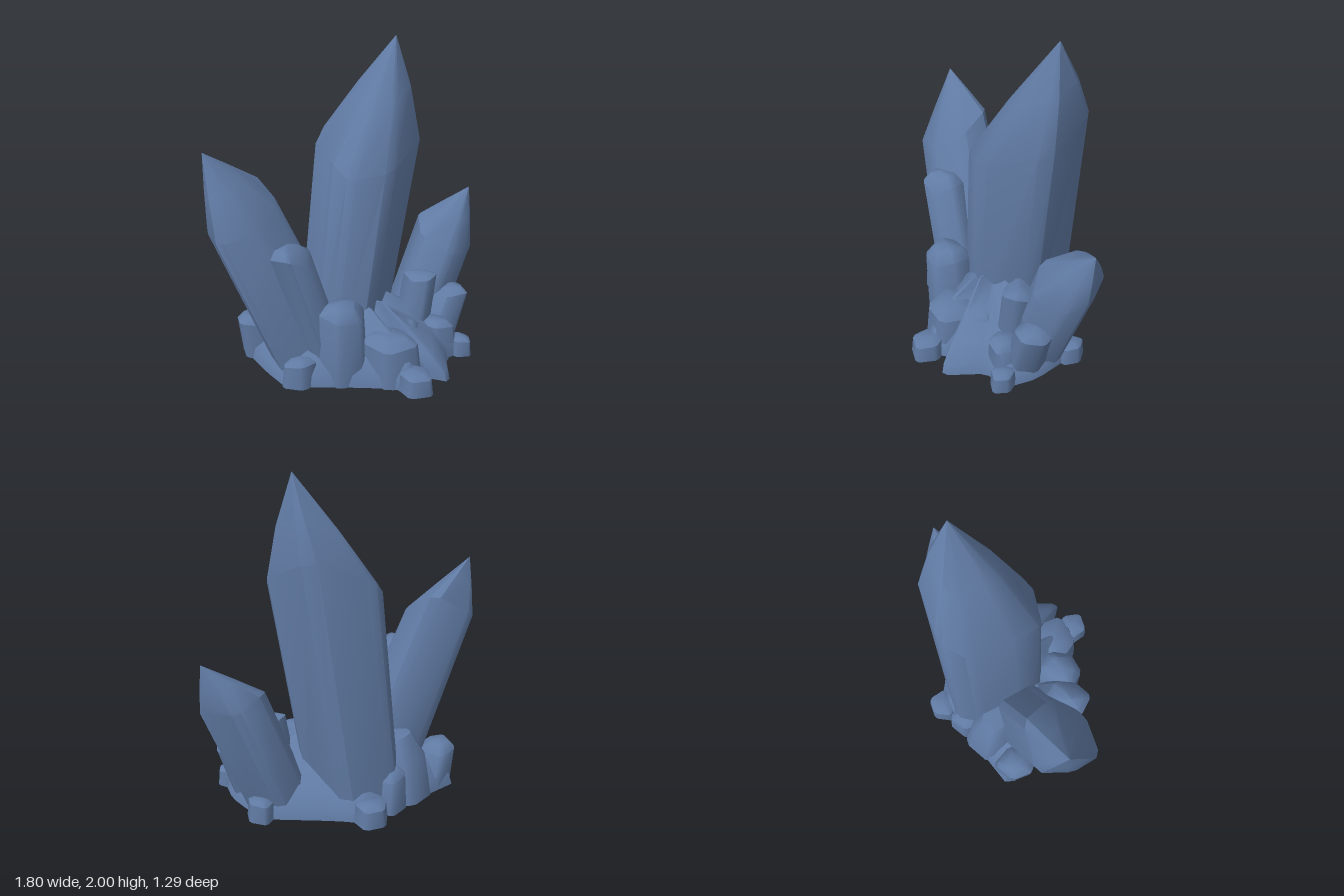
import * as THREE from 'three';
import { toCreasedNormals } from 'three/addons/utils/BufferGeometryUtils.js';

const crystalBlue = new THREE.MeshStandardMaterial({ color: 0x607aa3 });
crystalBlue.name = 'crystal blue';

// Cuts every corner of a ring in two, which softens the long edges
function cutCorners(ring, cut = 0.14) {
  const n = ring.length;
  const mix = (a, b) => a.map((v, k) => v + (b[k] - v) * cut);
  return ring.flatMap((p, i) => [mix(p, ring[(i + n - 1) % n]), mix(p, ring[(i + 1) % n])]);
}

const middleOf = ring => [0, 1, 2].map(k => ring.reduce((sum, p) => sum + p[k], 0) / ring.length);

// Skins rings (counter-clockwise from above) from the ground up to a tip
function skin(name, rings, tip, crease = 0.6) {
  const n = rings[0].length;
  const top = (rings.length - 1) * n;
  const tipId = rings.length * n;
  const positions = [...rings.flat(2), ...tip, ...middleOf(rings[0])];
  const index = [];
  for (let i = 0; i < n; i++) {
    const j = (i + 1) % n;
    for (let r = 0; r < top; r += n) {
      index.push(r + i, r + j, r + n + j, r + i, r + n + j, r + n + i);
    }
    index.push(top + i, top + j, tipId, j, i, tipId + 1);
  }
  const geometry = new THREE.BufferGeometry();
  geometry.setAttribute('position', new THREE.Float32BufferAttribute(positions, 3));
  geometry.setIndex(index);
  const mesh = new THREE.Mesh(toCreasedNormals(geometry, crease), crystalBlue);
  mesh.name = name;
  return mesh;
}

// Large crystal: the shoulder ring runs down along the lean to the ground and up through a crown to the tip
function crystal(name, shoulder, tip, [leanX, leanZ], [flareX, flareZ], bulge) {
  const resize = (ring, sx, sz) => {
    const [cx, , cz] = middleOf(ring);
    return ring.map(([x, y, z]) => [cx + (x - cx) * sx, y, cz + (z - cz) * sz]);
  };
  const foot = resize(shoulder.map(([x, y, z]) => [x - leanX * y, 0, z - leanZ * y]), flareX, flareZ);
  const crown = resize(shoulder.map(p => p.map((v, k) => (v + tip[k]) / 2)), bulge, bulge);
  return skin(name, [foot, shoulder, crown].map(ring => cutCorners(ring)), tip);
}

// Small blunt crystal standing at x, z; it leans and tapers upwards
function stub(name, x, z, height, radius, leanX = 0, leanZ = 0, shoulder = 0.82) {
  const sides = height > 0.3 ? 6 : 5;
  const ring = (t, scale, tilt) => cutCorners(Array.from({ length: sides }, (_, i) => {
    const angle = 0.4 + x * 3 - (i / sides) * Math.PI * 2;
    const r = radius * scale * (1 + 0.09 * Math.sin(i * 2.7 + x * 9));
    return [
      x + leanX * t + Math.cos(angle) * r,
      height * (t + tilt * Math.sin(i * 1.9 + z * 8)),
      z + leanZ * t + Math.sin(angle) * r,
    ];
  }));
  return skin(name, [ring(0, 1.12, 0), ring(shoulder, 1, 0.05), ring(0.97, 0.6, 0.02)],
    [x + leanX, height, z + leanZ], 0.75);
}

// Rough rock base with a flat underside
function rockBase() {
  const outline = [
    [-0.69, -0.34], [-0.6, 0.05], [-0.53, 0.26], [-0.2, 0.38], [0.02, 0.47], [0.2, 0.58], [0.3, 0.44], [0.43, 0.54],
    [0.53, 0.28], [0.68, 0.24], [0.69, 0.02], [0.6, -0.28], [0.2, -0.47], [0.02, -0.58], [-0.2, -0.5], [-0.45, -0.41],
  ];
  const levels = [[1, 0], [0.97, 0.07], [0.82, 0.17], [0.58, 0.27], [0.3, 0.37]];
  const rings = levels.map(([scale, y], r) => cutCorners(outline.map(([x, z], i) =>
    [x * scale, y * (1 + 0.15 * Math.sin(i * 2.3 + r)), z * scale])));
  return skin('rockBase', rings, [0, 0.4, 0], 0.9);
}

export function createModel() {
  const model = new THREE.Group();
  model.name = 'crystalCluster';
  model.add(rockBase());

  // Three large crystals
  model.add(crystal('mainCrystal', [
    [-0.14, 1.3, -0.02], [-0.08, 1.21, 0.14], [0.17, 1.25, 0.18], [0.5, 1.4, -0.1],
    [0.35, 1.55, -0.45], [-0.03, 1.43, -0.47], [-0.15, 1.31, -0.34],
  ], [0.35, 2, -0.22], [0.124, 0.015], [0.85, 1.02], 1.1));
  model.add(crystal('leftCrystal', [
    [-0.9, 0.95, -0.01], [-0.87, 0.93, 0.18], [-0.62, 0.98, 0.19],
    [-0.48, 1.1, 0.02], [-0.57, 1.22, -0.19], [-0.84, 1.08, -0.22],
  ], [-0.89, 1.41, -0.06], [-0.43, 0], [1.15, 1.2], 1.03));
  model.add(crystal('rightCrystal', [
    [0.57, 0.8, -0.31], [0.49, 0.72, -0.08], [0.65, 0.61, 0.05],
    [0.84, 0.59, -0.05], [0.91, 0.7, -0.19], [0.74, 0.72, -0.37],
  ], [0.89, 0.98, -0.2], [0.4, -0.06], [1, 1], 1.03));

  // Small crystals around the base: x, z, height, radius, lean in x and z, shoulder
  const stubs = [
    ['frontTallStub', -0.15, 0.24, 0.51, 0.155, -0.02, 0.02, 0.84],
    ['frontBlock', 0.12, 0.34, 0.29, 0.18, -0.01, -0.01],
    ['frontPebble', 0.2, 0.54, 0.13, 0.105],
    ['leftShard', -0.2, 0.13, 0.88, 0.14, -0.28, 0.04, 0.9],
    ['leftLowBlock', -0.56, -0.24, 0.28, 0.13, -0.05],
    ['leftFrontPebble', -0.43, 0.23, 0.17, 0.105],
    ['backLeftMound', -0.3, -0.29, 0.4, 0.19, 0.02, 0.05, 0.6],
    ['backBlock', -0.16, -0.42, 0.26, 0.12],
    ['backPebble', 0.01, -0.55, 0.13, 0.1],
    ['rightTallStub', 0.37, 0.04, 0.53, 0.11, 0.08, 0, 0.93],
    ['rightShard', 0.53, 0.03, 0.4, 0.13, 0.14, 0, 0.88],
    ['rightFrontBlock', 0.53, 0.16, 0.24, 0.11, -0.02],
    ['rightFrontPebble', 0.65, 0.23, 0.12, 0.075],
    ['rightBackPebble', 0.59, -0.26, 0.13, 0.085],
    ['frontRightShard', 0.34, 0.19, 0.29, 0.09, -0.06],
  ];
  stubs.forEach(values => model.add(stub(...values)));

  return model;
}
